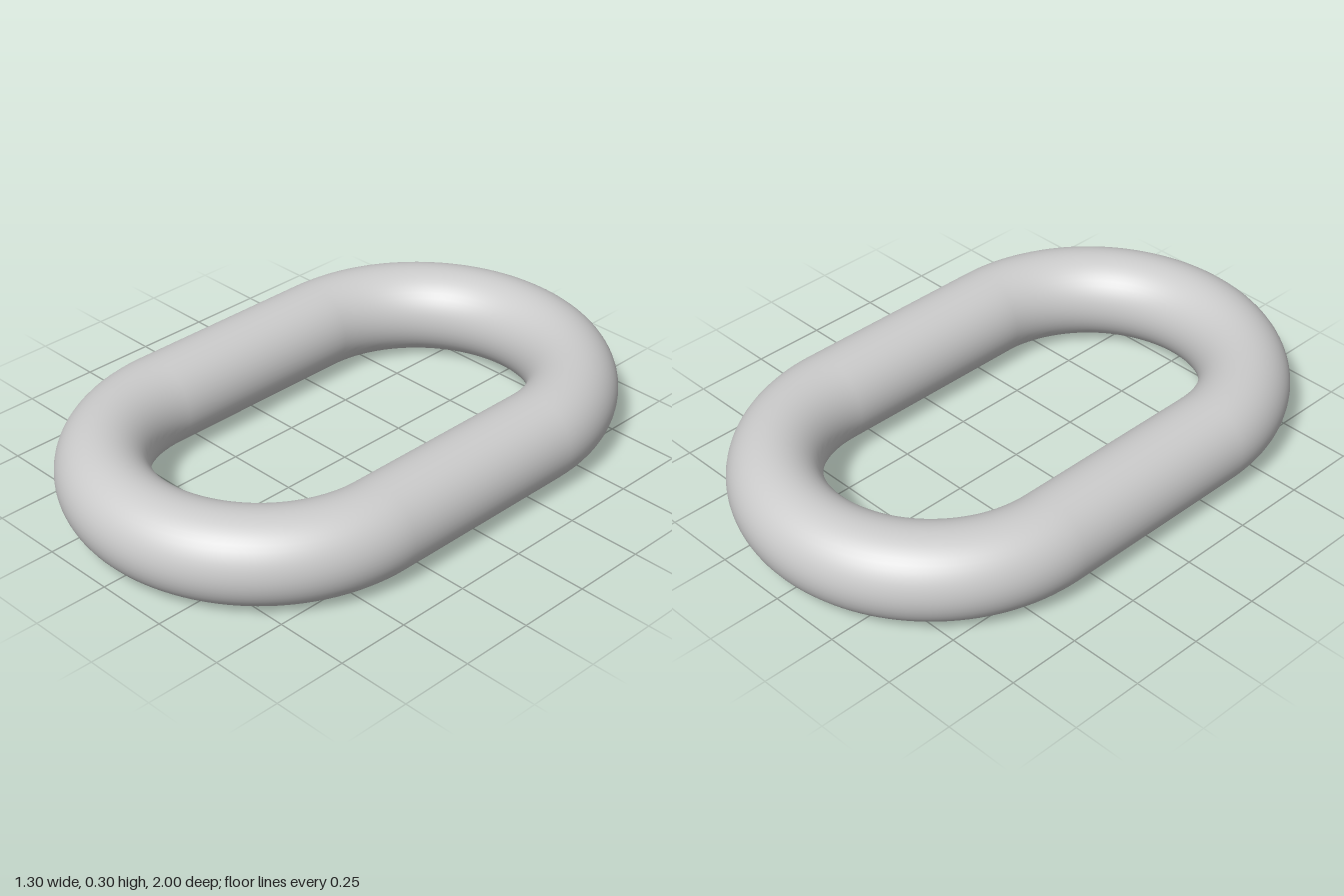
import * as THREE from 'three';

const WIRE = 0.15;   // radius of the round bar
const BEND = 0.5;    // centreline radius of the end bends
const HALF = 0.35;   // half length of the straight sides
const SIDES = 48;

export function createModel() {
  const link = new THREE.Group();
  link.name = 'chainLink';
  const material = new THREE.MeshStandardMaterial({ color: 0xcccccc });

  const add = (name, geometry, x, z) => {
    const mesh = new THREE.Mesh(geometry, material);
    mesh.name = name;
    mesh.position.set(x, WIRE, z);
    link.add(mesh);
  };

  for (const s of [1, -1]) {
    // half-ring bend at the front and back
    const bend = new THREE.TorusGeometry(BEND, WIRE, SIDES, 64, Math.PI);
    bend.rotateX(s * Math.PI / 2);
    add(s > 0 ? 'frontBend' : 'backBend', bend, 0, s * HALF);

    // straight bar joining the bends on each side
    const bar = new THREE.CylinderGeometry(WIRE, WIRE, 2 * HALF, SIDES, 1, true);
    bar.rotateX(Math.PI / 2);
    add(s > 0 ? 'leftBar' : 'rightBar', bar, s * BEND, 0);
  }
  return link;
}
